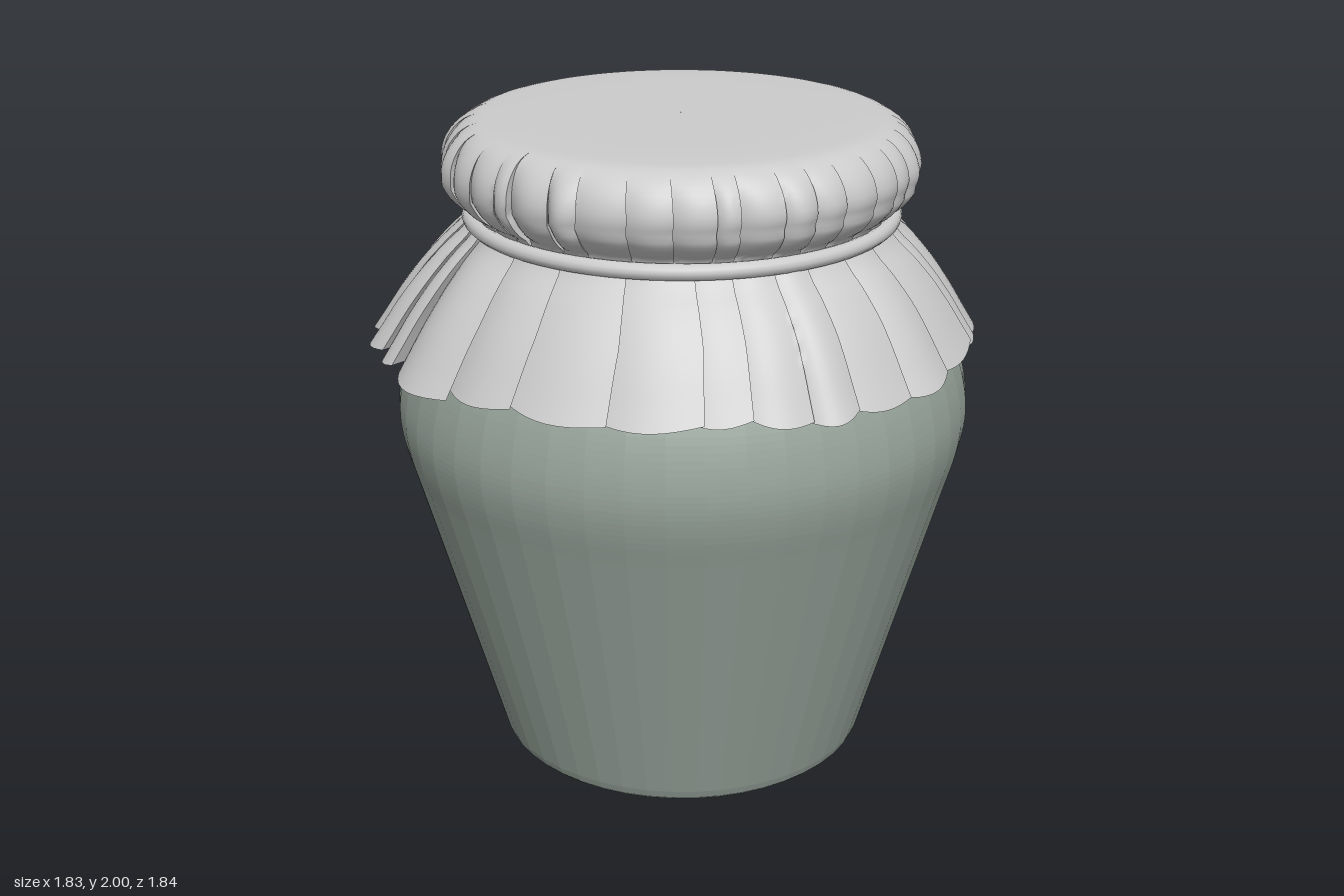
import * as THREE from 'three';
import { toCreasedNormals } from 'three/addons/utils/BufferGeometryUtils.js';

const V2 = (x, y) => new THREE.Vector2(x, y);

// Small seeded generator for irregular folds
function seeded(seed) {
  let s = seed;
  return () => (s = (s * 16807) % 2147483647) / 2147483647;
}

// Gathered cloth: rows are [radius, y, foldDepth, centreX, hemAmount], running from top to bottom
function pleatedCloth(rows, pleats, seed, steps, overlap) {
  const rnd = seeded(seed);
  const widths = Array.from({ length: pleats }, () => 0.55 + rnd());
  const total = widths.reduce((a, b) => a + b, 0);
  const columns = [];
  let start = 0;
  let lift = 0;
  for (const w of widths) {
    const width = (w / total) * Math.PI * 2;
    const depth = 0.5 + rnd() * 0.8, drop = (rnd() - 0.5) * 0.04, bulge = rnd();
    for (let k = 0; k <= steps; k++) {
      const u = k / steps;
      // each pleat rises across its width, then drops sharply under the next one
      const wave = depth * (0.65 * u + (0.3 + 0.5 * bulge) * Math.sin(Math.PI * u) - 0.6);
      const hem = THREE.MathUtils.lerp(lift, drop, u) - 0.014 * Math.sin(Math.PI * u);
      columns.push({ a: start + width * u, shift: width * overlap * u * u, wave, hem });
    }
    lift = drop;
    start += width;
  }
  const pos = [], index = [], n = columns.length;
  for (const [r, y, depth, cx, hemAmount] of rows) {
    for (const c of columns) {
      const a = c.a + c.shift * Math.min(1, depth / 0.04);
      const radius = r + depth * c.wave;
      pos.push(cx + radius * Math.sin(a), y + hemAmount * c.hem, radius * Math.cos(a));
    }
  }
  for (let i = 0; i < rows.length - 1; i++) {
    for (let j = 0; j < n; j++) {
      const a = i * n + j, b = i * n + (j + 1) % n;
      index.push(a, a + n, b, b, a + n, b + n);
    }
  }
  const geo = new THREE.BufferGeometry();
  geo.setAttribute('position', new THREE.Float32BufferAttribute(pos, 3));
  geo.setIndex(index);
  return toCreasedNormals(geo, 0.7);
}

// Resample [radius, y, foldDepth, centreX, hemAmount] control rows smoothly
function smoothRows(ctrl, count) {
  const path = new THREE.CatmullRomCurve3(ctrl.map(p => new THREE.Vector3(p[0], p[1], p[2])));
  const extra = new THREE.CatmullRomCurve3(ctrl.map(p => new THREE.Vector3(p[3], p[4], 0)));
  return Array.from({ length: count + 1 }, (_, i) => {
    const p = path.getPoint(i / count), e = extra.getPoint(i / count);
    return [p.x, p.y, Math.max(0, p.z), e.x, e.y];
  });
}

export function createModel() {
  const group = new THREE.Group();
  const glaze = new THREE.MeshStandardMaterial({ color: 0x96a39a, flatShading: true });
  const cloth = new THREE.MeshStandardMaterial({ color: 0xcccccc, side: THREE.DoubleSide });
  const cord = new THREE.MeshStandardMaterial({ color: 0xcccccc });
  const add = (name, geo, mat) => {
    const mesh = new THREE.Mesh(geo, mat);
    mesh.name = name;
    group.add(mesh);
    return mesh;
  };

  // Jar: tapering body, rounded shoulder, and a neck closed below the cloth
  const shoulder = new THREE.SplineCurve([
    V2(0.83, 0.92), V2(0.858, 1.02), V2(0.87, 1.11), V2(0.862, 1.2), V2(0.835, 1.3),
    V2(0.79, 1.4), V2(0.733, 1.51), V2(0.68, 1.6), V2(0.645, 1.66), V2(0.6, 1.71),
  ]).getPoints(44);
  const profile = [
    V2(0, 0), V2(0.535, 0), V2(0.555, 0.006), V2(0.57, 0.02), V2(0.58, 0.045),
    ...shoulder, V2(0.6, 1.78), V2(0.62, 1.83), V2(0.62, 1.9), V2(0.57, 1.96), V2(0, 1.96),
  ];
  add('jar', new THREE.LatheGeometry(profile, 48), glaze).position.x = 0.03;

  // Cloth cap: flat top rolling over a puffed, wrinkled edge
  const cap = smoothRows([
    [0.56, 1.998, 0, 0.02, 0], [0.61, 1.992, 0.002, 0.02, 0], [0.655, 1.968, 0.01, 0.02, 0],
    [0.69, 1.92, 0.026, 0.02, 0], [0.702, 1.865, 0.034, 0.02, 0], [0.69, 1.81, 0.034, 0.02, 0],
    [0.655, 1.765, 0.028, 0.022, 0], [0.625, 1.74, 0.018, 0.024, 0], [0.618, 1.7, 0.01, 0.025, 0],
  ], 24);
  cap.unshift([0.001, 2, 0, 0.02, 0], [0.4, 2, 0, 0.02, 0]);
  add('clothCap', pleatedCloth(cap, 38, 4127, 8, 0.12), cloth);

  // Cloth skirt: pleats flaring out over the shoulder to an uneven hem
  const skirt = smoothRows([
    [0.622, 1.715, 0.01, 0.025, 0], [0.65, 1.675, 0.018, 0.023, 0], [0.705, 1.62, 0.028, 0.019, 0.1],
    [0.765, 1.55, 0.038, 0.014, 0.3], [0.82, 1.475, 0.045, 0.008, 0.6],
    [0.868, 1.4, 0.05, 0.003, 0.9], [0.9, 1.35, 0.055, 0, 1.1],
  ], 18);
  add('clothSkirt', pleatedCloth(skirt, 27, 90817, 10, 0.16), cloth);

  // Cord tied round the neck
  const ring = add('cord', new THREE.TorusGeometry(0.632, 0.024, 12, 72), cord);
  ring.rotation.x = Math.PI / 2;
  ring.position.set(0.025, 1.712, 0);

  return group;
}
